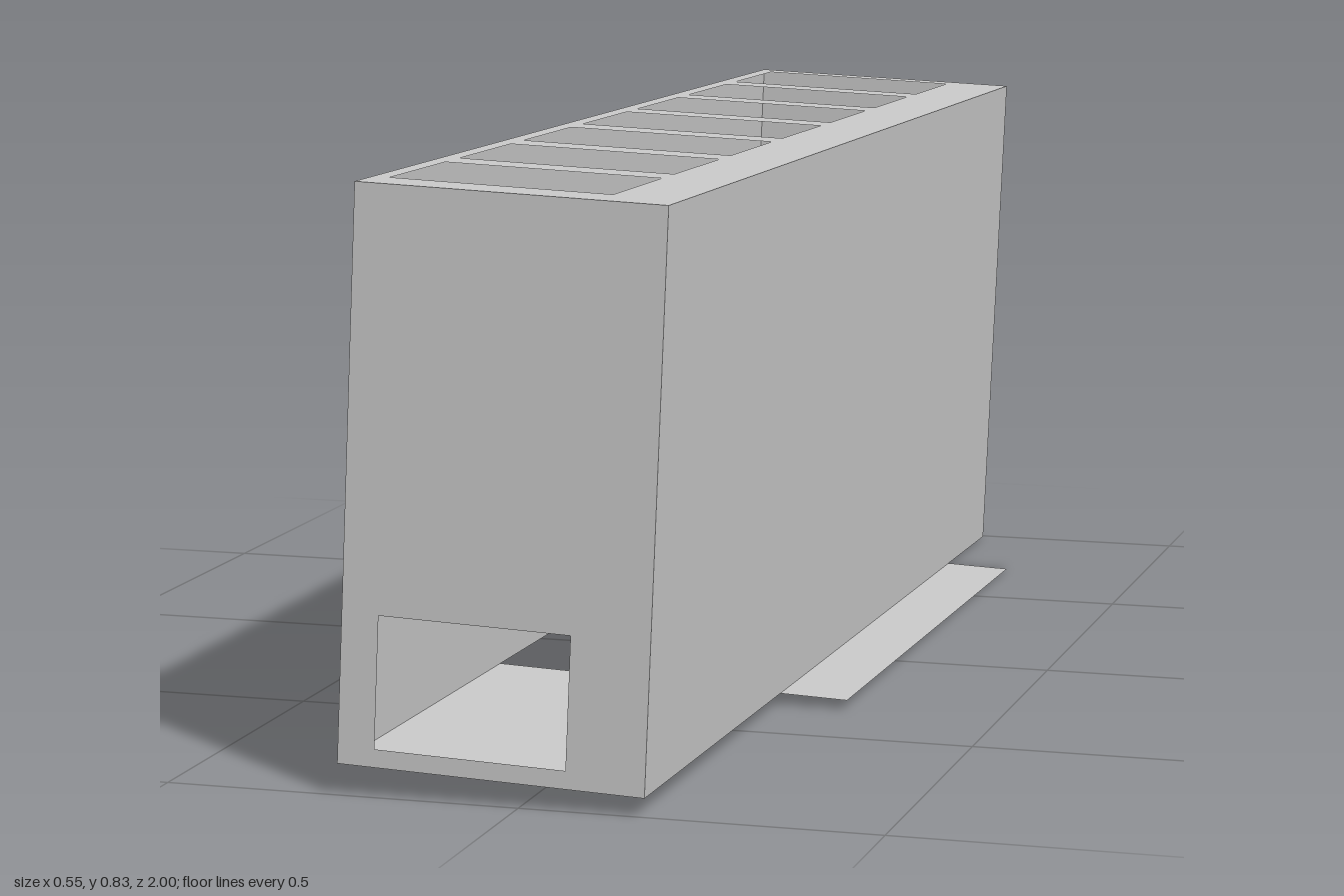
import * as THREE from 'three';

const W = 0.215, H = 0.783, L = 0.995; // half width, height, half length

export function createModel() {
  const model = new THREE.Group();
  const mat = new THREE.MeshStandardMaterial({ color: 0xcccccc, side: THREE.DoubleSide });

  const trace = (path, [x0, y0, x1, y1]) => {
    path.moveTo(x0, y0);
    path.lineTo(x1, y0);
    path.lineTo(x1, y1);
    path.lineTo(x0, y1);
    path.closePath();
    return path;
  };

  // Thin sheet with rectangular cut-outs, turned and then moved into place
  function sheet(name, rect, holes, rotation, position) {
    const shape = trace(new THREE.Shape(), rect);
    for (const h of holes) shape.holes.push(trace(new THREE.Path(), h));
    const mesh = new THREE.Mesh(new THREE.ShapeGeometry(shape), mat);
    mesh.name = name;
    mesh.rotation.set(...rotation);
    mesh.position.set(...position);
    model.add(mesh);
  }

  const q = Math.PI / 2;

  // Long side walls
  sheet('rightWall', [-L, 0, L, H], [], [0, -q, 0], [-W, 0, 0]);
  sheet('leftWall', [-L, 0, L, H], [], [0, q, 0], [W, 0, 0]);

  // End walls, each with a low window
  sheet('frontWall', [-W, 0, W, H], [[-0.163, 0.025, 0.105, 0.207]], [0, 0, 0], [0, 0, L]);
  sheet('backWall', [-W, 0, W, H], [[-0.105, 0.025, 0.163, 0.207]], [0, Math.PI, 0], [0, 0, -L]);

  // Top with a row of seven slots
  const slots = [];
  for (let i = 0; i < 7; i++) {
    const z = -0.955 + i * 0.277;
    slots.push([-0.192, -z - 0.218, 0.118, -z]);
  }
  sheet('slottedTop', [-W, -L, W, L], slots, [-q, 0, 0], [0, H, 0]);

  // Floor in two parts, open between them
  const z0 = -0.735, z1 = 0.325;
  sheet('floorBack', [-W, -L, W, z0], [], [q, 0, 0], [0, 0, 0]);
  sheet('floorFront', [-W, z1, W, L], [], [q, 0, 0], [0, 0, 0]);

  // Flanges beside the floor opening
  sheet('leftFlange', [W, -z1, 0.315, -z0], [], [-q, 0, 0], [0, 0, 0]);
  sheet('rightFlange', [-0.235, -0.37, -W, -z0], [], [-q, 0, 0], [0, 0, 0]);

  // Slight lean of the whole box
  model.rotation.set(-0.0125, 0, -0.041);
  model.position.set(-0.04, 0.024, 0.005);
  const group = new THREE.Group();
  model.name = 'slottedBox';
  group.add(model);
  return group;
}
